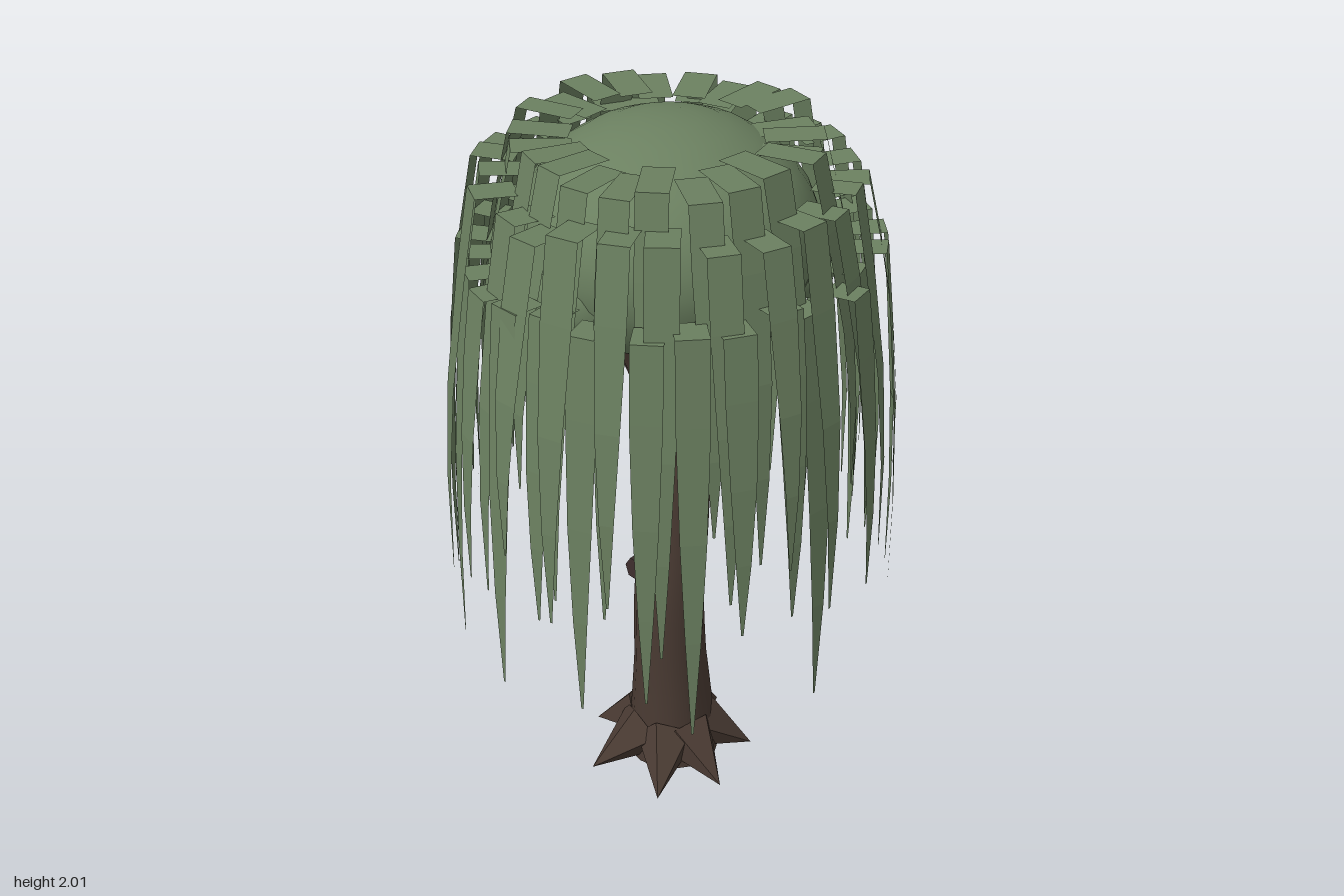
import * as THREE from 'three';
import { mergeGeometries } from 'three/addons/utils/BufferGeometryUtils.js';

const V = (x, y, z) => new THREE.Vector3(x, y, z);

// Small seeded random generator
function seeded(seed) {
  return () => {
    seed = (seed * 16807) % 2147483647;
    return seed / 2147483647;
  };
}

// Tube whose radius follows a list of values along its length
function taperedTube(points, radii, sides, steps) {
  const curve = new THREE.CatmullRomCurve3(points);
  const geo = new THREE.TubeGeometry(curve, steps, 1, sides);
  const pos = geo.attributes.position;
  const v = V(0, 0, 0);
  for (let i = 0; i <= steps; i++) {
    const t = i / steps;
    const c = curve.getPointAt(t);
    const f = t * (radii.length - 1);
    const k = Math.min(Math.floor(f), radii.length - 2);
    const r = THREE.MathUtils.lerp(radii[k], radii[k + 1], f - k);
    for (let j = 0; j <= sides; j++) {
      const n = i * (sides + 1) + j;
      v.fromBufferAttribute(pos, n).sub(c).multiplyScalar(r).add(c);
      pos.setXYZ(n, v.x, v.y, v.z);
    }
  }
  return geo;
}

// Flat hanging ribbon: rows of [radius, height, half width], turned round the y axis
function frond(rows, angle) {
  const pos = [];
  const index = [];
  rows.forEach(([r, y, w], i) => {
    pos.push(-w, y, r, w, y, r);
    if (i) {
      const a = 2 * i - 2;
      index.push(a, a + 2, a + 1, a + 1, a + 2, a + 3);
    }
  });
  const geo = new THREE.BufferGeometry();
  geo.setAttribute('position', new THREE.Float32BufferAttribute(pos, 3));
  geo.setIndex(index);
  const flat = geo.toNonIndexed();
  flat.computeVertexNormals();
  return flat.rotateY(angle);
}

export function createModel() {
  const group = new THREE.Group();
  const mat = (name, color, extra = {}) =>
    Object.assign(new THREE.MeshStandardMaterial({ color, ...extra }), { name });
  const bark = mat('bark', 0x4a3b33);
  const rootBark = mat('root bark', 0x4a3b33, { flatShading: true });
  const stubBark = mat('dark bark', 0x3b2c2c, { flatShading: true });
  const leaf = mat('leaf', 0x6b8060);
  const leafRibbon = mat('leaf ribbon', 0x6b8060, { side: THREE.DoubleSide });

  const add = (name, geo, material, p = [0, 0, 0], s = [1, 1, 1]) => {
    const m = new THREE.Mesh(geo, material);
    m.name = name;
    m.position.set(...p);
    m.scale.set(...s);
    group.add(m);
    return m;
  };

  // Leaning trunk with a closed foot
  add('trunk', taperedTube(
    [V(0.02, 0, 0), V(0.022, 0.25, -0.012), V(0.02, 0.55, -0.018), V(0.045, 0.8, -0.018), V(0.06, 1.05, -0.01), V(0.055, 1.35, 0)],
    [0.135, 0.118, 0.104, 0.1, 0.097, 0.09, 0.082, 0.075, 0.06], 16, 28), bark);
  add('trunkFoot', new THREE.CircleGeometry(0.135, 16).rotateX(Math.PI / 2), bark, [0.02, 0.002, 0]);

  // Pointed roots spreading along the ground
  const up = V(0, 1, 0);
  for (const degrees of [45, 100, 152, 198, 252, 310, 355]) {
    const a = THREE.MathUtils.degToRad(degrees);
    const tip = V(Math.sin(a) * 0.25, 0.004, Math.cos(a) * 0.24);
    const base = V(Math.sin(a) * 0.08 + 0.01, 0.09, Math.cos(a) * 0.08 - 0.005);
    const dir = tip.clone().sub(base);
    const root = add('root', new THREE.ConeGeometry(0.09, dir.length(), 5), rootBark);
    root.position.copy(base).addScaledVector(dir, 0.5);
    root.quaternion.setFromUnitVectors(up, dir.normalize());
  }

  // Knots and a broken stub
  const ball = new THREE.SphereGeometry(1, 12, 8);
  add('frontKnot', ball, bark, [0.005, 0.5, 0.105], [0.027, 0.04, 0.014]);
  add('sideKnot', ball, bark, [0.117, 0.387, -0.035], [0.016, 0.026, 0.028]);
  const stub = add('branchStub', new THREE.CylinderGeometry(0.032, 0.04, 0.06, 6), stubBark, [-0.085, 0.692, -0.02]);
  stub.rotation.z = 1.45;

  // Forking branches, each with a leaf clump near its end
  for (let i = 0; i < 5; i++) {
    const a = THREE.MathUtils.degToRad(53 + i * 72);
    const at = (r, y) => V(0.05 * (1 - r * 2.5) + Math.sin(a) * r, y, Math.cos(a) * r);
    add('branch', taperedTube([at(0, 1.1), at(0.1, 1.3), at(0.2, 1.5), at(0.4, 1.69)],
      [0.065, 0.05, 0.035, 0.013], 8, 10), bark);
    add('leafClump', ball, leaf, at(0.28, 1.62).toArray(), [0.15, 0.13, 0.15]);
  }

  // Domed crown
  add('crown', new THREE.SphereGeometry(1, 32, 16), leaf, [0, 1.7, 0], [0.38, 0.3, 0.38]);

  // Three tiers of hanging fronds
  const rand = seeded(41);
  const tiers = [
    { name: 'topFronds', n: 23, r: 0.23, cap: 0.15, y: 1.96, out: 0.13, tip: [0.85, 1.15] },
    { name: 'middleFronds', n: 25, r: 0.37, cap: 0.11, y: 1.87, out: 0.11, tip: [0.75, 1.05] },
    { name: 'outerFronds', n: 28, r: 0.435, cap: 0.09, y: 1.68, out: 0.065, tip: [0.53, 0.9] },
  ];
  for (const t of tiers) {
    const parts = [];
    for (let i = 0; i < t.n; i++) {
      const a = ((i + (rand() - 0.5) * 0.35) / t.n) * Math.PI * 2;
      const r = t.r + (rand() - 0.5) * 0.04;
      const y = t.y + (rand() - 0.5) * 0.04;
      const drop = y - THREE.MathUtils.lerp(t.tip[0], t.tip[1], rand());
      const w = 0.037 + rand() * 0.007;
      const edge = r + t.cap;
      parts.push(frond([
        [r, y - 0.005, w],
        [edge, y, w],
        [edge + t.out * 0.35, y - drop * 0.2, w],
        [edge + t.out * 0.75, y - drop * 0.48, w * 0.8],
        [edge + t.out * 0.95, y - drop * 0.74, w * 0.48],
        [edge + t.out, y - drop, 0.003],
      ], a));
    }
    add(t.name, mergeGeometries(parts), leafRibbon);
  }
  return group;
}
